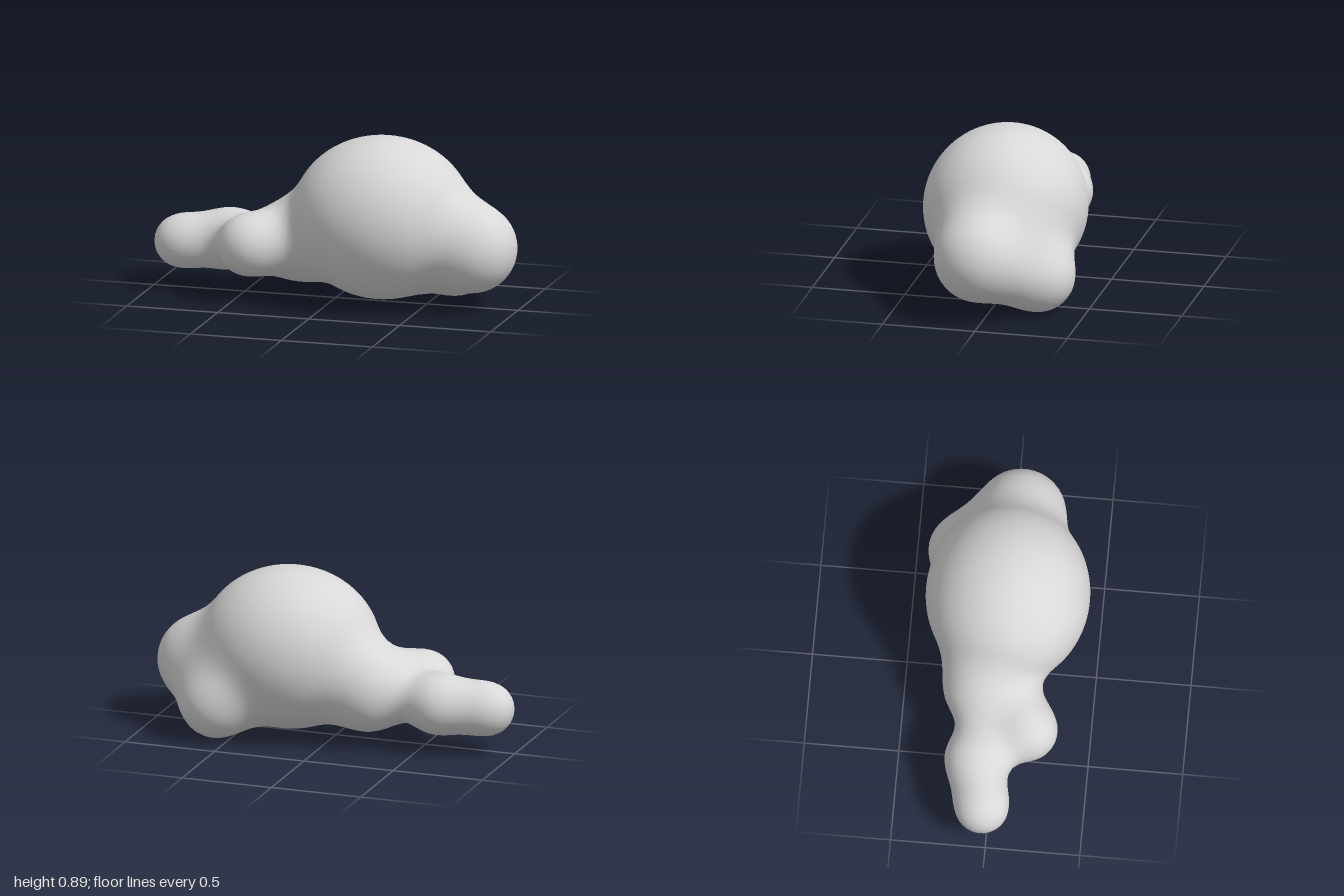
import * as THREE from 'three';

// Main body: an ellipsoid, longer along x
const BODY = { center: [0.26, 0.457, 0.01], radii: [0.485, 0.433, 0.433] };

// Each ball: centre x, y, z and radius
const BALLS = {
  endLobe: [0.76, 0.33, 0.035, 0.238],
  backLobe: [0.58, 0.195, -0.243, 0.195],
  link: [-0.2, 0.297, -0.06, 0.232],
  frontBall: [-0.43, 0.295, 0.167, 0.166],
  tailBall: [-0.6, 0.26, -0.085, 0.165],
  tailTip: [-0.86, 0.242, -0.03, 0.141],
};

// Smooth union of two distances, k is the width of the blend
function blend(a, b, k) {
  const h = Math.max(k - Math.abs(a - b), 0) / k;
  return Math.min(a, b) - h * h * k * 0.25;
}

// Approximate distance to the ellipsoid body
function bodyDistance(x, y, z) {
  const q = [x, y, z].map((v, i) => (v - BODY.center[i]) / BODY.radii[i]);
  const s = q.map((v, i) => v / BODY.radii[i]);
  const k = Math.hypot(...q);
  return (k * (k - 1)) / Math.max(Math.hypot(...s), 1e-6);
}

// Signed distance to the whole blob
function field(x, y, z) {
  const d = (name) => {
    const [cx, cy, cz, r] = BALLS[name];
    return Math.hypot(x - cx, y - cy, z - cz) - r;
  };
  const lobes = blend(d('endLobe'), d('backLobe'), 0.22);
  const head = blend(bodyDistance(x, y, z), lobes, 0.16);
  let tail = blend(d('tailBall'), d('tailTip'), 0.19);
  tail = blend(tail, d('frontBall'), 0.14);
  return blend(blend(head, d('link'), 0.15), tail, 0.18);
}

function gradient(p) {
  const e = 0.002;
  return new THREE.Vector3(
    field(p.x + e, p.y, p.z) - field(p.x - e, p.y, p.z),
    field(p.x, p.y + e, p.z) - field(p.x, p.y - e, p.z),
    field(p.x, p.y, p.z + e) - field(p.x, p.y, p.z - e)
  ).divideScalar(2 * e);
}

// Skin the field: one vertex per crossed grid cell, one quad per crossed grid edge
function skinGeometry(cell) {
  const min = [-1.1, -0.1, -0.56];
  const size = [2.2, 1.1, 1.12].map((s) => Math.ceil(s / cell) + 1);
  const step = [1, size[0], size[0] * size[1]];
  const values = new Float32Array(size[0] * size[1] * size[2]);
  const each = (fn) => {
    for (let k = 0; k < size[2]; k++)
      for (let j = 0; j < size[1]; j++)
        for (let i = 0; i < size[0]; i++) fn(i, j, k, i + j * step[1] + k * step[2]);
  };
  each((i, j, k, n) => {
    values[n] = field(min[0] + i * cell, min[1] + j * cell, min[2] + k * cell);
  });

  const positions = [], normals = [], index = [];
  const vertexOf = new Map();
  each((i, j, k, n) => {
    if (i + 1 >= size[0] || j + 1 >= size[1] || k + 1 >= size[2]) return;
    let inside = 0;
    for (let c = 0; c < 8; c++) {
      const corner = n + (c & 1) + ((c >> 1) & 1) * step[1] + (c >> 2) * step[2];
      if (values[corner] < 0) inside++;
    }
    if (inside === 0 || inside === 8) return;
    // Pull the cell centre onto the surface
    const p = new THREE.Vector3(i + 0.5, j + 0.5, k + 0.5).multiplyScalar(cell);
    p.add(new THREE.Vector3(...min));
    for (let s = 0; s < 4; s++) {
      const g = gradient(p);
      p.addScaledVector(g, -field(p.x, p.y, p.z) / Math.max(g.lengthSq(), 0.2));
    }
    vertexOf.set(n, positions.length / 3);
    positions.push(p.x, p.y, p.z);
    normals.push(...gradient(p).normalize().toArray());
  });

  each((i, j, k, n) => {
    const at = [i, j, k];
    for (let a = 0; a < 3; a++) {
      if (at[a] + 1 >= size[a]) continue;
      const inHere = values[n] < 0;
      if (inHere === values[n + step[a]] < 0) continue;
      const b = step[(a + 1) % 3], c = step[(a + 2) % 3];
      const [q0, q1, q2, q3] = [n - b - c, n - c, n, n - b].map((m) => vertexOf.get(m));
      if (inHere) index.push(q0, q1, q2, q0, q2, q3);
      else index.push(q0, q2, q1, q0, q3, q2);
    }
  });

  const geometry = new THREE.BufferGeometry();
  geometry.setAttribute('position', new THREE.Float32BufferAttribute(positions, 3));
  geometry.setAttribute('normal', new THREE.Float32BufferAttribute(normals, 3));
  geometry.setIndex(index);
  return geometry;
}

export function createModel() {
  const group = new THREE.Group();
  group.name = 'blob';
  const grey = new THREE.MeshStandardMaterial({ color: 0xd8d8d8 });
  grey.name = 'light grey';
  const skin = new THREE.Mesh(skinGeometry(0.03), grey);
  skin.name = 'blobSkin';
  group.add(skin);
  return group;
}
